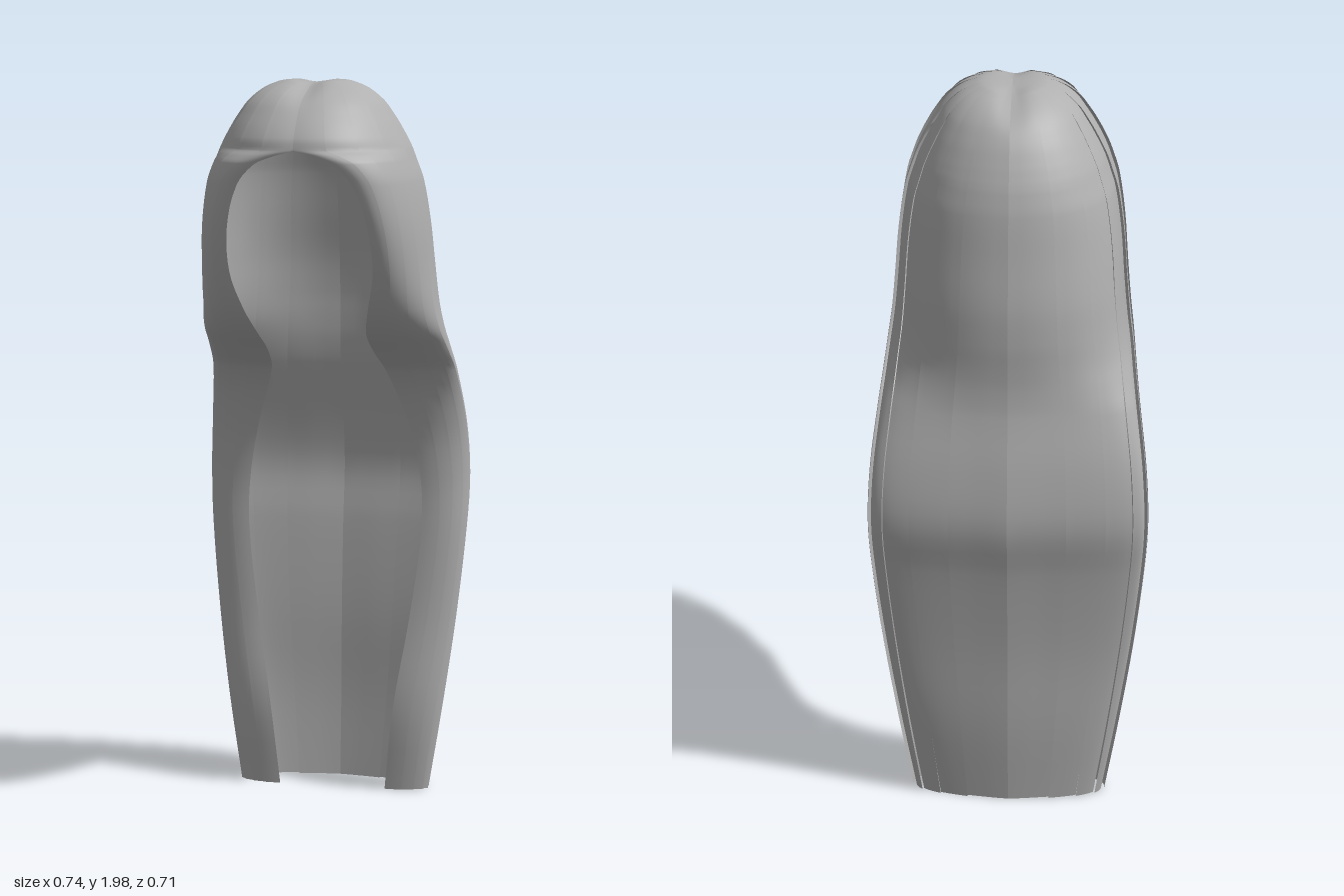
import * as THREE from 'three';

// Half cross-sections from crown to hem:
// y, back z, widest x, z of widest point, front edge x, front edge z
const rows = [
  [2.0, 0.03, 0.0, 0.06, 0, 0.09],
  [1.988, -0.03, 0.09, 0.06, 0, 0.145],
  [1.95, -0.1, 0.155, 0.06, 0, 0.24],
  [1.9, -0.145, 0.193, 0.06, 0, 0.3],
  [1.85, -0.175, 0.222, 0.06, 0, 0.342],
  [1.82, -0.19, 0.237, 0.06, 0, 0.352],
  [1.805, -0.197, 0.243, 0.06, 0.05, 0.353],
  [1.785, -0.205, 0.25, 0.06, 0.1, 0.35],
  [1.73, -0.222, 0.268, 0.05, 0.15, 0.335],
  [1.62, -0.243, 0.285, 0.035, 0.183, 0.305],
  [1.5, -0.265, 0.295, 0.015, 0.188, 0.258],
  [1.4, -0.272, 0.305, 0.0, 0.165, 0.2],
  [1.33, -0.272, 0.315, -0.04, 0.147, 0.12],
  [1.27, -0.274, 0.323, -0.12, 0.145, 0.0],
  [1.2, -0.284, 0.333, -0.2, 0.16, -0.12],
  [1.05, -0.322, 0.352, -0.27, 0.21, -0.19],
  [0.9, -0.343, 0.36, -0.29, 0.24, -0.21],
  [0.75, -0.322, 0.354, -0.275, 0.245, -0.205],
  [0.5, -0.302, 0.33, -0.25, 0.215, -0.185],
  [0.25, -0.297, 0.297, -0.225, 0.175, -0.155],
  [0.01, -0.28, 0.26, -0.21, 0.15, -0.17],
];
const STRANDS = 9;
const LAYER = 0.01;
const STEPS = 4; // rows between two cross-sections

// Smooth blend between neighbouring cross-sections, with slopes taken over height
function section(v) {
  const last = rows.length - 1;
  const i = Math.min(Math.floor(v), last - 1);
  const t = v - i;
  const span = rows[i + 1][0] - rows[i][0];
  const slope = (k, c) => {
    const a = rows[Math.max(0, k - 1)], b = rows[Math.min(last, k + 1)];
    return ((b[c] - a[c]) / (b[0] - a[0])) * span;
  };
  return rows[i].map((p, c) => {
    const q = rows[i + 1][c], m = slope(i, c), n = slope(i + 1, c);
    return p + t * (m + t * (3 * (q - p) - 2 * m - n + t * (2 * (p - q) + m + n)));
  });
}

// u = 0 at the back centre, 1 at the side, 2 at the front edge
function hairPoint(u, v, lift) {
  const [y, zBack, xSide, zSide, xEdge, zEdge] = section(v);
  const edge = Math.max(0, xEdge);
  const wide = Math.max(0, xSide);
  let x, z;
  if (u <= 1) {
    const a = (u * Math.PI) / 2;
    x = wide * Math.pow(Math.sin(a), 0.85);
    z = zSide + (zBack - zSide) * Math.pow(Math.max(0, Math.cos(a)), 0.75);
  } else {
    const a = ((u - 1) * Math.PI) / 2;
    x = edge + (wide - edge) * Math.max(0, Math.cos(a));
    z = zSide + (zEdge - zSide) * Math.sin(a);
  }
  // Lift the overlapping layers outwards, fading out at the crown and brow centre
  const dz = z - zSide;
  const len = Math.hypot(x, dz) || 1;
  const amount = lift * Math.min(1, wide / 0.2);
  x += (x / len) * amount;
  z += (dz / len) * amount;
  // Shallow parting along the crown
  const part = 0.015 * Math.exp(-((x / 0.035) ** 2)) * THREE.MathUtils.smoothstep(y, 1.9, 1.99);
  return [x, y - part, z];
}

// One long strand, raised on its rear edge and tucked under the next strand
function strandGeometry(index, side) {
  const u0 = (2 * index) / STRANDS;
  const u1 = Math.min(2, (2 * (index + 1.15)) / STRANDS);
  const cols = 5;
  const count = (rows.length - 1) * STEPS;
  const positions = [];
  const faces = [];
  for (let j = 0; j <= count; j++) {
    for (let i = 0; i <= cols; i++) {
      const f = i / cols;
      const [x, y, z] = hairPoint(u0 + (u1 - u0) * f, j / STEPS, LAYER * (1 - f));
      positions.push(side * x, y, z);
      if (i < cols && j < count) {
        const a = j * (cols + 1) + i, b = a + 1, c = a + cols + 1, d = c + 1;
        if (side > 0) faces.push(a, c, b, b, c, d);
        else faces.push(a, b, c, b, d, c);
      }
    }
  }
  const geometry = new THREE.BufferGeometry();
  geometry.setAttribute('position', new THREE.Float32BufferAttribute(positions, 3));
  geometry.setIndex(faces);
  geometry.computeVertexNormals();
  return geometry;
}

export function createModel() {
  const model = new THREE.Group();
  model.name = 'longHair';
  const hair = new THREE.MeshStandardMaterial({ color: 0xb0b0b0, side: THREE.DoubleSide });
  hair.name = 'hairGrey';

  // Mirrored halves of layered strands
  for (const side of [1, -1]) {
    const half = new THREE.Group();
    half.name = side > 0 ? 'leftHair' : 'rightHair';
    for (let i = 0; i < STRANDS; i++) {
      const strand = new THREE.Mesh(strandGeometry(i, side), hair);
      strand.name = 'strand' + (i + 1);
      half.add(strand);
    }
    model.add(half);
  }
  return model;
}
